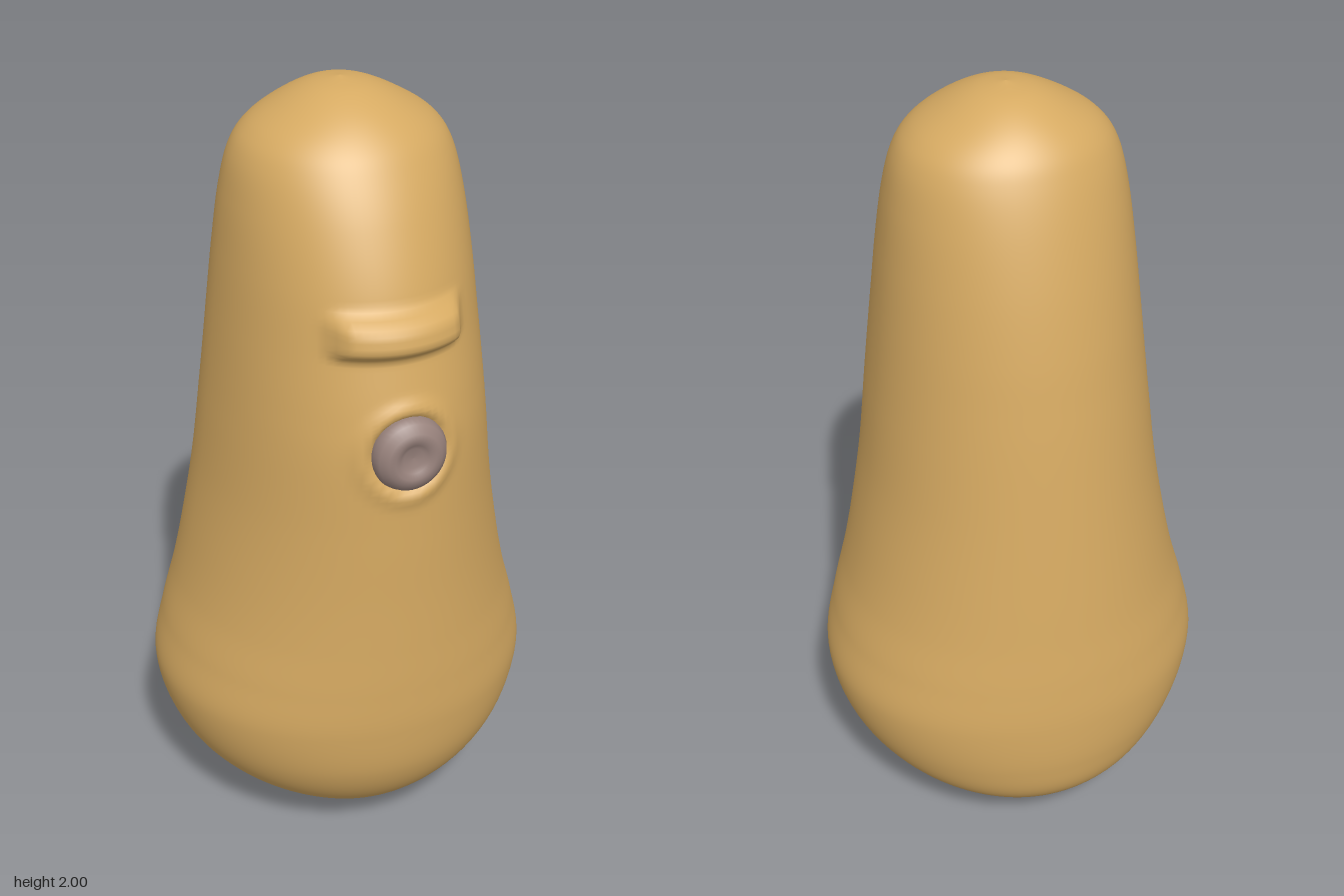
import * as THREE from 'three';

// Body sections: height, half width, front z, back z
const SECTIONS = [
  [0, 0, -0.04, -0.04], [0.008, 0.08, 0.05, -0.13], [0.03, 0.165, 0.16, -0.24],
  [0.08, 0.265, 0.275, -0.35], [0.17, 0.385, 0.37, -0.44], [0.28, 0.46, 0.427, -0.47],
  [0.42, 0.495, 0.45, -0.476], [0.55, 0.47, 0.455, -0.467], [0.68, 0.433, 0.455, -0.452],
  [0.82, 0.402, 0.455, -0.436], [1.0, 0.37, 0.457, -0.414], [1.2, 0.346, 0.456, -0.388],
  [1.32, 0.333, 0.44, -0.37], [1.45, 0.32, 0.41, -0.348], [1.6, 0.305, 0.372, -0.315],
  [1.74, 0.288, 0.316, -0.275], [1.84, 0.265, 0.262, -0.237], [1.9, 0.225, 0.217, -0.202],
  [1.95, 0.15, 0.155, -0.148], [1.985, 0.075, 0.08, -0.08], [2, 0, 0, 0],
];
const STEPS = 12, COLS = 112;
const NOSE_Y = 1.237;

const curve = (zIndex) => new THREE.CatmullRomCurve3(
  SECTIONS.map((s) => new THREE.Vector3(s[1], s[0], s[zIndex])), false, 'catmullrom');

// Forward bulge of the skin: a brow ridge, and a lip around a shallow nose socket
function faceRelief(x, y) {
  const brow = (1 - THREE.MathUtils.smoothstep(Math.abs(x), 0.13, 0.175))
    * (1 - THREE.MathUtils.smoothstep(Math.abs(y - 1.52), 0.02, 0.062));
  const r = Math.hypot(x, y - NOSE_Y);
  const lip = Math.exp(-(((r - 0.112) / 0.018) ** 2));
  const socket = 1 - THREE.MathUtils.smoothstep(r, 0.07, 0.1);
  return 0.046 * brow + 0.009 * lip - 0.025 * socket;
}

function bodyGeometry() {
  const front = curve(2), back = curve(3);
  const rows = (SECTIONS.length - 1) * STEPS;
  const positions = [], indices = [];
  for (let i = 0; i <= rows; i++) {
    const f = front.getPoint(i / rows), b = back.getPoint(i / rows);
    const middle = -0.04 * (1 - f.y / 2);
    for (let j = 0; j < COLS; j++) {
      const a = (j / COLS) * Math.PI * 2;
      const c = Math.cos(a);
      const x = Math.max(f.x, 0) * Math.sin(a);
      let z = middle + c * (c > 0 ? f.z - middle : middle - b.z);
      if (c > 0) z += faceRelief(x, f.y);
      positions.push(x, f.y, z);
      if (i < rows) {
        const p = i * COLS + j, q = i * COLS + ((j + 1) % COLS);
        indices.push(p, q, q + COLS, p, q + COLS, p + COLS);
      }
    }
  }
  const geometry = new THREE.BufferGeometry();
  geometry.setAttribute('position', new THREE.Float32BufferAttribute(positions, 3));
  geometry.setIndex(indices);
  geometry.computeVertexNormals();
  return geometry;
}

// Round button nose with a bevelled edge and a dimple in the middle
function noseGeometry() {
  const profile = [[0, 0.38], [0.08, 0.38], [0.091, 0.42], [0.092, 0.445], [0.084, 0.463],
    [0.066, 0.478], [0.05, 0.48], [0.036, 0.474], [0.025, 0.467], [0, 0.465]];
  return new THREE.LatheGeometry(profile.map(([r, h]) => new THREE.Vector2(r, h)), 40)
    .rotateX(Math.PI / 2);
}

export function createModel() {
  const skin = new THREE.MeshStandardMaterial({ color: 0xd6aa62 });
  skin.name = 'tan skin';
  const noseColor = new THREE.MeshStandardMaterial({ color: 0x98827c });
  noseColor.name = 'grey brown nose';

  const body = new THREE.Mesh(bodyGeometry(), skin);
  body.name = 'body';
  const nose = new THREE.Mesh(noseGeometry(), noseColor);
  nose.name = 'nose';
  nose.position.y = NOSE_Y;
  nose.scale.y = 1.03;

  const model = new THREE.Group();
  model.name = 'figure';
  model.add(body, nose);
  return model;
}
